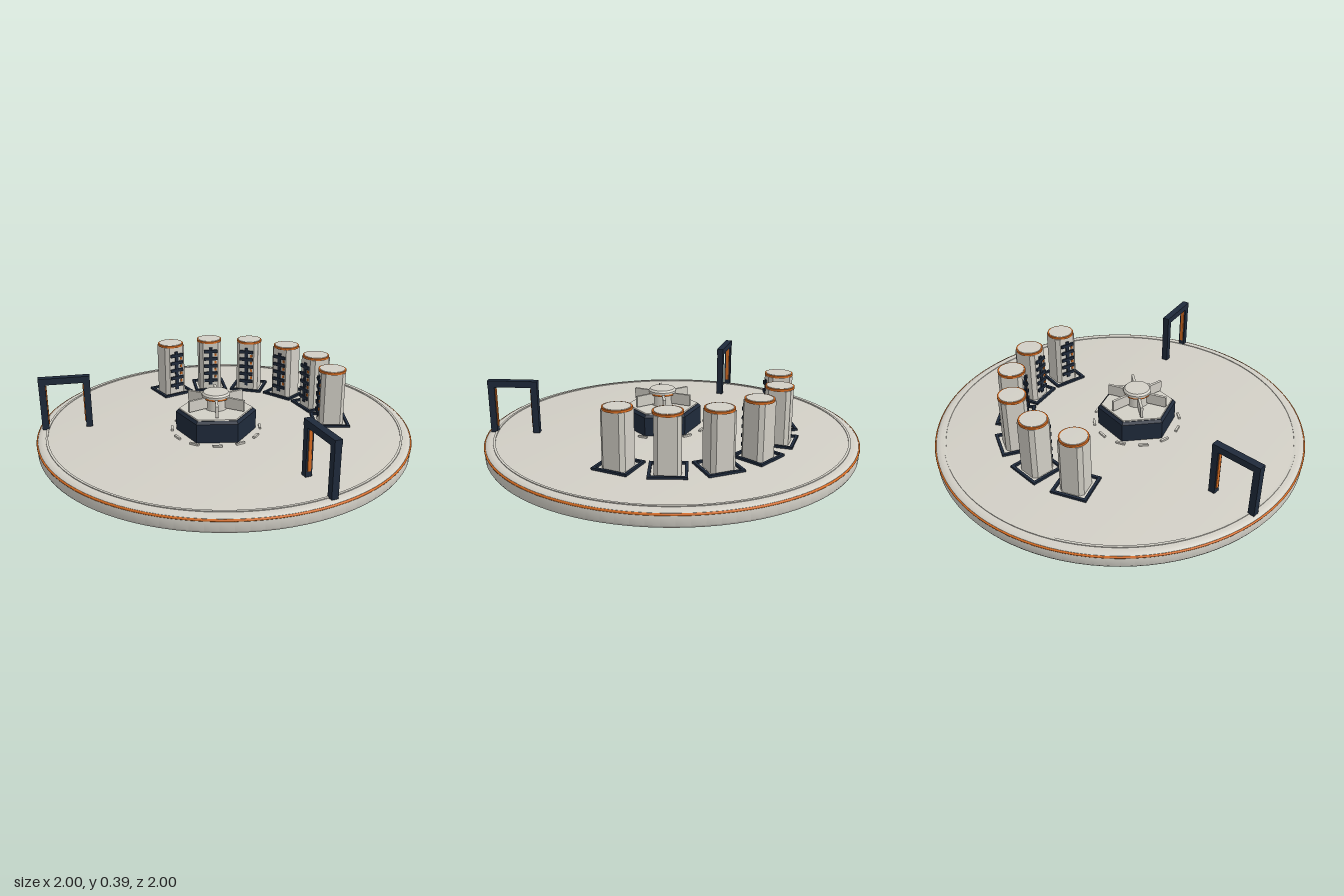
import * as THREE from 'three';
import { toCreasedNormals } from 'three/addons/utils/BufferGeometryUtils.js';

const paint = (name, color) => {
  const m = new THREE.MeshStandardMaterial({ color });
  m.name = name;
  return m;
};
const shell = paint('warm grey shell', 0xd2cfc6);
const navy = paint('dark navy', 0x1f2a3b);
const orange = paint('orange trim', 0xd66c22);

const FLOOR = 0.083;

function add(parent, name, geometry, material, x = 0, y = 0, z = 0) {
  const mesh = new THREE.Mesh(geometry, material);
  mesh.name = name;
  mesh.position.set(x, y, z);
  parent.add(mesh);
  return mesh;
}
function group(parent, name, x = 0, y = 0, z = 0) {
  const g = new THREE.Group();
  g.name = name;
  g.position.set(x, y, z);
  parent.add(g);
  return g;
}
const box = (w, h, d) => new THREE.BoxGeometry(w, h, d);

// Solid of revolution with sharp edges kept
function turned(points, sides, crease = 0.5) {
  const profile = points.map(([r, y]) => new THREE.Vector2(r, y));
  return toCreasedNormals(new THREE.LatheGeometry(profile, sides), crease);
}

// Round deck with an orange band and a raised line near the rim
function buildDeck(root) {
  const deck = group(root, 'deck');
  add(deck, 'deckDisc', turned([
    [0, 0], [0.98, 0], [0.99, 0.005], [0.996, 0.016], [0.996, 0.06],
    [0.992, 0.074], [0.982, 0.081], [0.965, FLOOR], [0, FLOOR],
  ], 96), shell);
  const band = add(deck, 'deckBand', new THREE.TorusGeometry(0.994, 0.006, 8, 96), orange, 0, 0.068, 0);
  band.rotation.x = Math.PI / 2;
  add(deck, 'rimLine', turned([
    [0.94, FLOOR - 0.002], [0.952, FLOOR - 0.002], [0.952, FLOOR + 0.004],
    [0.94, FLOOR + 0.004], [0.94, FLOOR - 0.002],
  ], 96), shell);
}

// Square prism with chamfered corners, standing on y = 0
function chamferedPrism(half, cut, height) {
  const a = half, b = half - cut;
  const shape = new THREE.Shape(
    [[a, -b], [a, b], [b, a], [-b, a], [-a, b], [-a, -b], [-b, -a], [b, -a]]
      .map(([x, y]) => new THREE.Vector2(x, y)));
  const g = new THREE.ExtrudeGeometry(shape, { depth: height, bevelEnabled: false });
  return g.rotateX(-Math.PI / 2);
}

// Tower whose vented face looks along +z
function buildTower(root, angle) {
  const tower = group(root, 'tower', Math.sin(angle) * 0.58, FLOOR, -Math.cos(angle) * 0.58);
  tower.rotation.y = -angle;
  add(tower, 'towerBody', chamferedPrism(0.065, 0.02, 0.292), shell);
  // Footing frame
  for (const s of [-1, 1]) {
    add(tower, 'footingBar', box(0.19, 0.012, 0.015), navy, 0, 0.006, s * 0.0875);
    add(tower, 'footingBar', box(0.015, 0.012, 0.16), navy, s * 0.0875, 0.006, 0);
  }
  // Cap
  add(tower, 'capRing', new THREE.CylinderGeometry(0.074, 0.074, 0.012, 32), orange, 0, 0.297, 0);
  add(tower, 'capLid', turned([[0.067, 0.302], [0.066, 0.305], [0, 0.306]], 32), shell);
  // Vent ladder with small lamps
  add(tower, 'ventSpine', box(0.02, 0.235, 0.008), navy, 0, 0.148, 0.068);
  for (let i = 0; i < 5; i++) {
    const y = 0.058 + i * 0.046;
    add(tower, 'ventSlat', box(0.08, 0.018, 0.012), navy, 0, y, 0.069);
    if (i < 4) add(tower, 'ventLamp', box(0.012, 0.014, 0.006), orange, 0.03, y + 0.023, 0.067);
  }
}

// Hexagonal pedestal with a finned hub
function buildCore(root) {
  const core = group(root, 'core', 0, FLOOR, 0.093);
  const hex = (top, bottom, h) => new THREE.CylinderGeometry(top, bottom, h, 6).toNonIndexed();
  const prism = (name, top, bottom, h, mat, y) => {
    const g = hex(top, bottom, h);
    g.computeVertexNormals();
    add(core, name, g, mat, 0, y, 0);
  };
  prism('pedestal', 0.213, 0.213, 0.102, navy, 0.051);
  prism('pedestalBevel', 0.2, 0.213, 0.014, navy, 0.109);
  prism('pedestalTop', 0.194, 0.197, 0.006, shell, 0.118);
  add(core, 'hubStem', new THREE.CylinderGeometry(0.055, 0.06, 0.08, 32), shell, 0, 0.155, 0);
  add(core, 'hubRing', new THREE.CylinderGeometry(0.07, 0.07, 0.012, 32), orange, 0, 0.186, 0);
  add(core, 'hubCap', turned([
    [0, 0.191], [0.075, 0.191], [0.075, 0.202], [0.066, 0.212], [0, 0.214],
  ], 32), shell);
  for (let i = 0; i < 6; i++) {
    const fin = group(core, 'fin');
    fin.rotation.y = i * Math.PI / 3;
    add(fin, 'finBlade', box(0.115, 0.06, 0.014), shell, 0.108, 0.161, 0);
  }
  // Dashed ring on the deck
  for (let i = 0; i < 12; i++) {
    const dash = group(core, 'floorDash');
    dash.rotation.y = i * Math.PI / 6;
    add(dash, 'dashPlate', box(0.012, 0.01, 0.05), shell, 0.235, 0.005, 0);
  }
}

// Upright gate frame with lit strips inside the posts
function buildGate(root, side) {
  const gate = group(root, side > 0 ? 'leftGate' : 'rightGate', side * 0.717, FLOOR, 0.445);
  gate.rotation.y = -side * THREE.MathUtils.degToRad(39);
  add(gate, 'gateBeam', box(0.266, 0.035, 0.038), navy, 0, 0.27, 0);
  for (const s of [-1, 1]) {
    add(gate, 'gatePost', box(0.035, 0.256, 0.035), navy, s * 0.115, 0.128, 0);
    add(gate, 'gateStrip', box(0.006, 0.21, 0.018), orange, s * 0.096, 0.135, 0);
  }
}

export function createModel() {
  const root = new THREE.Group();
  root.name = 'platform';
  buildDeck(root);
  for (let i = 0; i < 6; i++) buildTower(root, THREE.MathUtils.degToRad((i - 2.5) * 24.3));
  buildCore(root);
  for (const side of [-1, 1]) buildGate(root, side);
  return root;
}
